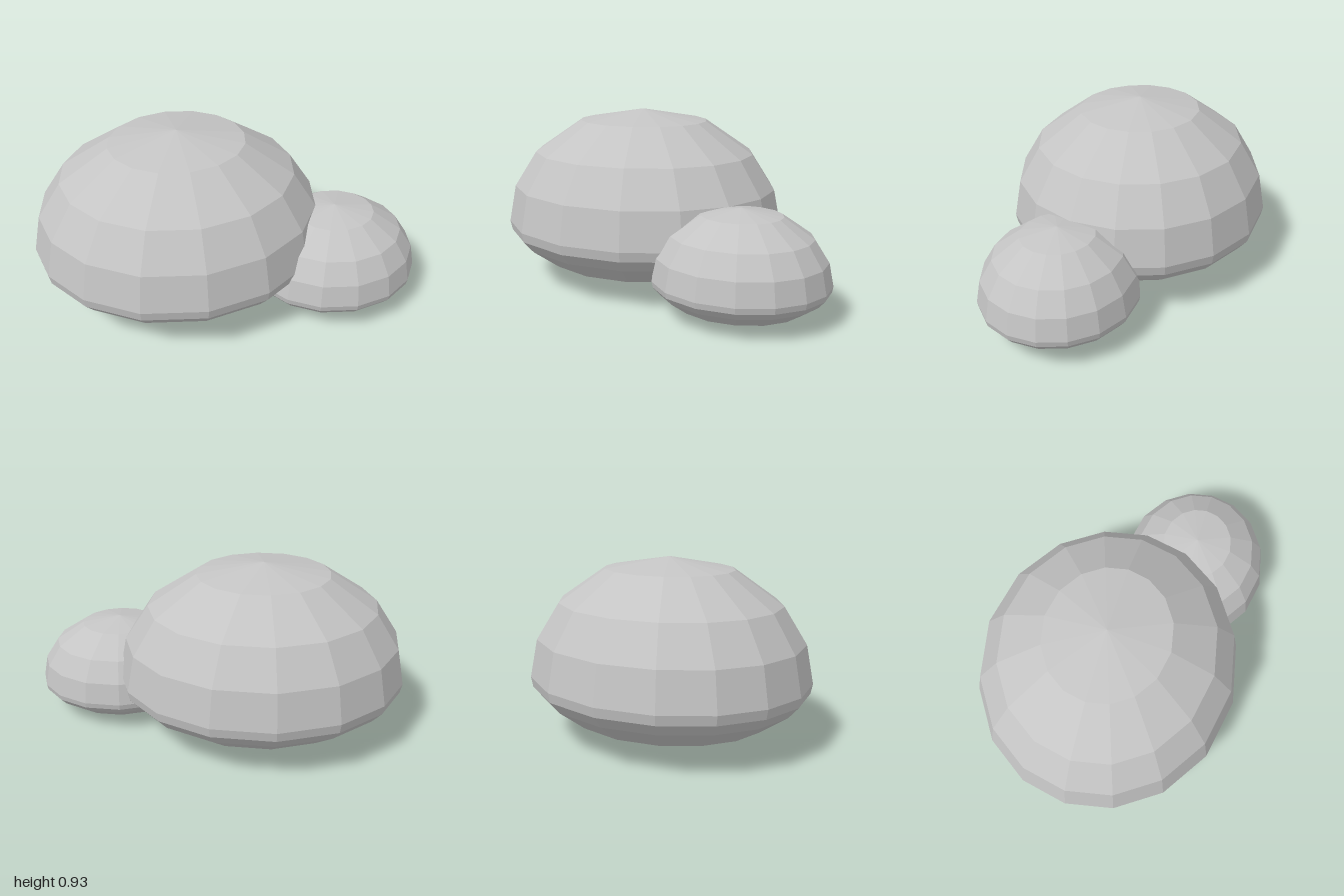
import * as THREE from 'three';

// Boulder cross-section (radius, height), from underside to crown
const PROFILE = [
  [0, 0], [0.505, 0.095], [0.64, 0.195], [0.69, 0.255], [0.7, 0.305],
  [0.665, 0.5], [0.555, 0.685], [0.322, 0.855], [0, 0.915],
].map(([r, y]) => new THREE.Vector2(r, y));

const WIDEN = 1.1; // boulders are slightly wider than deep

function boulderGeometry() {
  const geometry = new THREE.LatheGeometry(PROFILE, 16);
  const p = geometry.attributes.position;
  for (let i = 0; i < p.count; i++) {
    const x = p.getX(i), z = p.getZ(i);
    const r = Math.hypot(x, z);
    if (r < 1e-6) continue;
    // Crowd the facets toward the sides, then widen the outline
    const k = r / Math.hypot(x * WIDEN, z);
    p.setX(i, x * WIDEN * k * WIDEN);
    p.setZ(i, z * k);
  }
  geometry.computeVertexNormals();
  return geometry;
}

export function createModel() {
  const group = new THREE.Group();
  group.name = 'boulders';
  const stone = new THREE.MeshStandardMaterial({ color: 0xc4c4c4, flatShading: true });
  stone.name = 'stone grey';
  const geometry = boulderGeometry();

  const addBoulder = (name, x, y, z, size) => {
    const mesh = new THREE.Mesh(geometry, stone);
    mesh.name = name;
    mesh.position.set(x, y, z);
    mesh.scale.setScalar(size);
    group.add(mesh);
  };

  addBoulder('largeBoulder', -0.23, 0.015, 0, 1);
  addBoulder('smallBoulder', 0.547, 0, 0.275, 0.582);
  return group;
}
